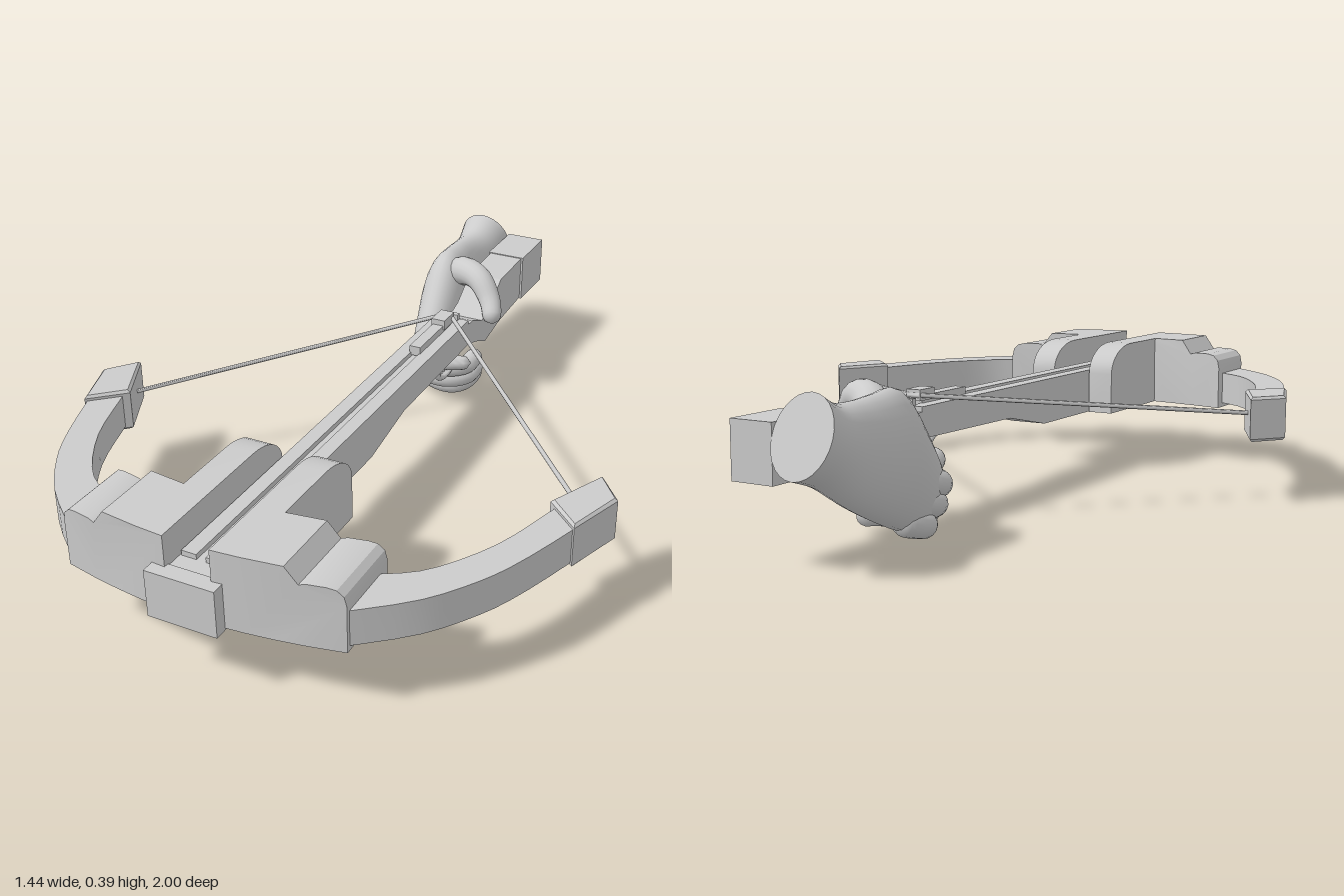
import * as THREE from 'three';
import { toCreasedNormals } from 'three/addons/utils/BufferGeometryUtils.js';

const CX = -0.004; // centre line of the stock
const material = new THREE.MeshStandardMaterial({ color: 0xcccccc, side: THREE.DoubleSide });
const V = (x, y, z) => new THREE.Vector3(x, y, z);

export function createModel() {
  const model = new THREE.Group();

  const add = (name, geometry, crease = 0.5) => {
    const mesh = new THREE.Mesh(toCreasedNormals(geometry, crease), material);
    mesh.name = name;
    model.add(mesh);
    return mesh;
  };
  const box = (name, x0, x1, y0, y1, z0, z1) => add(name,
    new THREE.BoxGeometry(x1 - x0, y1 - y0, z1 - z0).translate((x0 + x1) / 2, (y0 + y1) / 2, (z0 + z1) / 2));
  const extrude = (pts, depth, bevel = 0) => new THREE.ExtrudeGeometry(
    new THREE.Shape(pts.map(([a, b]) => new THREE.Vector2(a, b))),
    { depth, bevelEnabled: bevel > 0, bevelSize: bevel, bevelThickness: bevel, bevelOffset: -bevel, bevelSegments: 1 });
  // outline given as [z, y], extruded across x
  const sideExtrude = (pts, x0, x1) =>
    extrude(pts.map(([z, y]) => [-z, y]), x1 - x0).rotateY(Math.PI / 2).translate(x0, 0, 0);
  // outline given as [x, z], extruded upwards
  const planExtrude = (pts, y0, y1, bevel = 0) =>
    extrude(pts.map(([x, z]) => [x, -z]), y1 - y0 - 2 * bevel, bevel).rotateX(-Math.PI / 2).translate(0, y0 + bevel, 0);
  const smooth = (pts, n) => new THREE.SplineCurve(pts.map(([a, b]) => new THREE.Vector2(a, b)))
    .getPoints(n).map((p) => [p.x, p.y]);

  // closed skin over a row of rings
  const loft = (rings) => {
    const n = rings[0].length, pos = [], idx = [];
    rings.forEach((r) => r.forEach((p) => pos.push(p.x, p.y, p.z)));
    const centre = (r) => {
      const c = r.reduce((s, p) => s.add(p), V(0, 0, 0)).divideScalar(n);
      pos.push(c.x, c.y, c.z);
      return pos.length / 3 - 1;
    };
    const a = centre(rings[0]), b = centre(rings[rings.length - 1]);
    const last = (rings.length - 1) * n;
    for (let j = 0; j < n; j++) {
      const k = (j + 1) % n;
      for (let i = 0; i < last; i += n) idx.push(i + j, i + k, i + n + k, i + j, i + n + k, i + n + j);
      idx.push(a, k, j, b, last + j, last + k);
    }
    const g = new THREE.BufferGeometry();
    g.setAttribute('position', new THREE.Float32BufferAttribute(pos, 3));
    g.setIndex(idx);
    return g;
  };
  // round-ended finger of varying thickness
  const finger = (name, pts, r0, r1) => {
    const curve = new THREE.CatmullRomCurve3(pts.map((p) => V(...p)));
    const S = 28, N = 16, f = curve.computeFrenetFrames(S), length = curve.getLength();
    const rings = [];
    for (let i = 0; i <= S; i++) {
      const t = i / S, r = r0 + (r1 - r0) * t;
      const e = Math.min(1, (Math.min(t, 1 - t) * length) / r);
      const rr = Math.max(0.003, r * Math.sqrt(1 - (1 - e) ** 2));
      const c = curve.getPointAt(t);
      rings.push(Array.from({ length: N }, (_, j) => {
        const q = (j / N) * Math.PI * 2;
        return c.clone().addScaledVector(f.normals[i], rr * Math.cos(q)).addScaledVector(f.binormals[i], rr * Math.sin(q));
      }));
    }
    add(name, loft(rings), 1.3);
  };
  const rod = (name, pts, r) => add(name,
    new THREE.TubeGeometry(new THREE.CatmullRomCurve3(pts.map((p) => V(...p))), pts.length > 2 ? 24 : 1, r, 8), 1);

  // stock, with a slim wrist behind the trigger
  add('stock', sideExtrude([
    [0.91, 0.28], [-0.38, 0.28], [-0.43, 0.28], [-0.5, 0.25], [-0.55, 0.265], [-0.64, 0.325], [-0.81, 0.33],
    [-0.81, 0.2], [-0.64, 0.19], [-0.53, 0.17], [-0.46, 0.2], [-0.4, 0.215], [0.02, 0.21], [0.21, 0.17], [0.91, 0.17],
  ], CX - 0.05, CX + 0.05));
  box('buttPad', CX - 0.056, CX + 0.056, 0.197, 0.332, -0.965, -0.8);
  // two rails leave the bolt groove between them
  for (const s of [-1, 1]) {
    const c = CX + s * 0.031;
    box('rail', c - 0.019, c + 0.019, 0.27, 0.293, -0.4, 0.91);
  }
  box('frontPlate', CX - 0.088, CX + 0.088, 0.165, 0.285, 0.955, 0.998);
  box('frontBridge', CX - 0.06, CX + 0.06, 0.17, 0.28, 0.78, 0.965);

  // string latch and rear sight
  box('latch', CX - 0.016, CX + 0.016, 0.285, 0.312, -0.35, -0.15);
  box('latchTop', CX - 0.02, CX + 0.02, 0.3, 0.328, -0.365, -0.3);
  box('sight', CX - 0.022, CX + 0.022, 0.285, 0.31, -0.4, -0.385);

  // bow, mirrored left and right
  for (const s of [-1, 1]) {
    const m = (pts) => pts.map(([x, z]) => [s * x, z]);

    // stepped limb pocket, swept back away from the middle
    const pocket = extrude(m([
      [0.058, 0.17], [0.13, 0.17], [0.2, 0.17], [0.27, 0.17], [0.355, 0.17], [0.355, 0.29], [0.35, 0.312],
      [0.335, 0.326], [0.315, 0.33], [0.27, 0.33], [0.255, 0.325], [0.225, 0.365], [0.13, 0.365], [0.058, 0.365],
    ]), 0.185);
    const p = pocket.attributes.position;
    for (let i = 0; i < p.count; i++) {
      const t = (Math.abs(p.getX(i)) - 0.058) / 0.3;
      p.setZ(i, p.getZ(i) + 0.783 - 0.045 * t * (0.4 + 0.6 * t));
    }
    add('limbPocket', pocket);

    // side arm with a rounded rear top
    const arm = [[0.85, 0.17], [0.85, 0.365], [0.6, 0.365]];
    for (let i = 1; i <= 8; i++) {
      const a = (i / 8) * Math.PI / 2;
      arm.push([0.6 - 0.127 * Math.sin(a), 0.285 + 0.08 * Math.cos(a)]);
    }
    arm.push([0.473, 0.17]);
    const ax = s > 0 ? 0.058 : -0.13;
    add('sideArm', sideExtrude(arm, ax, ax + 0.072));

    // curved limb, tapering to the tip
    const outer = smooth([[0.34, 0.925], [0.465, 0.82], [0.545, 0.715], [0.6, 0.61], [0.665, 0.43], [0.68, 0.35]], 14);
    const inner = smooth([[0.61, 0.34], [0.595, 0.38], [0.535, 0.56], [0.44, 0.71], [0.34, 0.78]], 14);
    add('limb', planExtrude(m([...outer, ...inner]), 0.182, 0.272));

    // limb tip cap
    add('limbTip', planExtrude(m([[0.655, 0.208], [0.72, 0.29], [0.668, 0.44], [0.582, 0.36]]), 0.17, 0.286, 0.007));
    rod('bowString', [[s * 0.622, 0.235, 0.28], [CX + s * 0.015, 0.314, -0.36]], 0.006);
  }
  rod('stringCentre', [[CX - 0.018, 0.314, -0.36], [CX + 0.018, 0.314, -0.36]], 0.008);

  // trigger and its guard
  rod('triggerGuard', [[CX, 0.215, -0.26], [CX, 0.185, -0.3], [CX, 0.145, -0.305], [CX, 0.128, -0.35],
    [CX, 0.14, -0.4], [CX, 0.22, -0.43]], 0.009);
  rod('trigger', [[CX, 0.215, -0.34], [CX, 0.18, -0.345], [CX, 0.15, -0.33]], 0.009);

  // forearm and palm: z, x, y, half width, half height, slant
  const sections = [
    [-0.962, -0.137, 0.308, 0.078, 0.088, 0.42],
    [-0.89, -0.138, 0.278, 0.067, 0.088, 0.3],
    [-0.81, -0.143, 0.248, 0.058, 0.115, 0.12],
    [-0.72, -0.141, 0.225, 0.065, 0.143, 0],
    [-0.62, -0.13, 0.205, 0.07, 0.163, 0],
    [-0.53, -0.12, 0.15, 0.06, 0.135, 0],
    [-0.46, -0.11, 0.115, 0.048, 0.088, 0],
    [-0.41, -0.1, 0.11, 0.025, 0.045, 0],
  ];
  const track = (k) => new THREE.SplineCurve(sections.map((q, i) => new THREE.Vector2(i, q[k])));
  const tracks = [0, 1, 2, 3, 4, 5].map(track);
  const rings = [];
  for (let i = 0; i <= 28; i++) {
    const [z, x, y, rx, ry, slant] = tracks.map((c) => c.getPoint(i / 28).y);
    rings.push(Array.from({ length: 28 }, (_, j) => {
      const q = (j / 28) * Math.PI * 2;
      return V(x + rx * Math.cos(q), y + ry * Math.sin(q), z + slant * ry * Math.sin(q));
    }));
  }
  add('forearmAndPalm', loft(rings), 1);

  // thumb over the wrist of the stock
  finger('thumb', [[-0.13, 0.27, -0.7], [-0.07, 0.335, -0.63], [0, 0.338, -0.585], [0.05, 0.29, -0.55], [0.078, 0.245, -0.505]], 0.05, 0.026);
  // index finger on the trigger
  finger('indexFinger', [[-0.12, 0.16, -0.52], [-0.095, 0.165, -0.42], [-0.06, 0.165, -0.365], [0, 0.165, -0.365], [0.06, 0.165, -0.39]], 0.034, 0.019);
  // remaining fingers curled under the grip: height, setback, reach
  for (const [y, back, reach] of [[0.122, 0, 0.03], [0.078, 0.02, 0.025], [0.036, 0.065, 0.005]]) {
    finger('curledFinger', [[-0.13, y + 0.03, -0.56 - back], [-0.145, y + 0.005, -0.47 - back], [-0.095, y, -0.42 - back],
      [-0.03, y, -0.41 - back], [reach - 0.005, y + 0.006, -0.44 - back], [reach, y + 0.015, -0.51 - back]], 0.036, 0.025);
  }
  return model;
}
